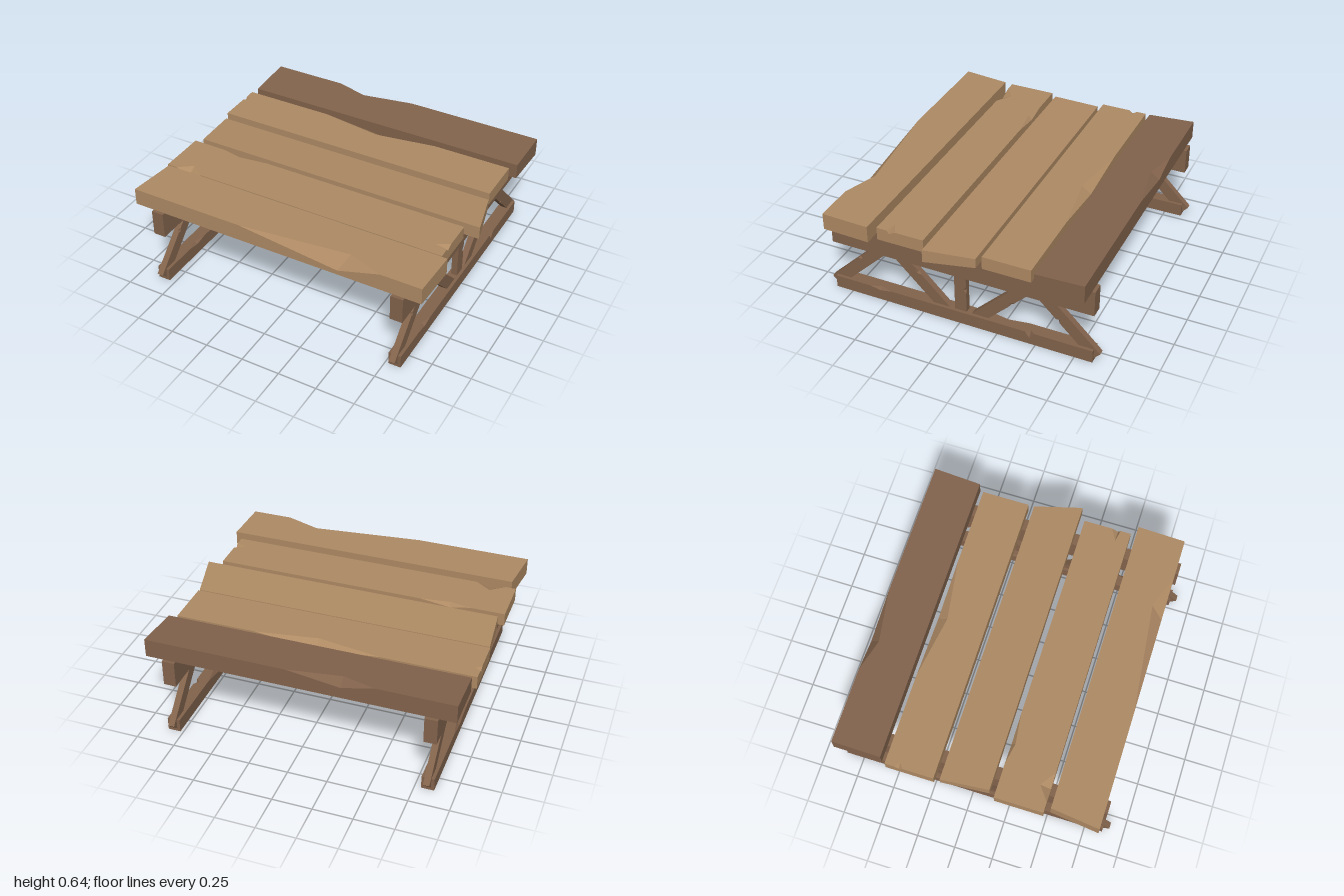
import * as THREE from 'three';

const lightWood = new THREE.MeshStandardMaterial({ color: 0xae8a64 });
lightWood.name = 'lightWood';
const darkWood = new THREE.MeshStandardMaterial({ color: 0x82634c });
darkWood.name = 'darkWood';

const lerp = (a, b, t) => a.clone().lerp(b, t);

// Triangulates a flat polygon given counter-clockwise from outside.
function addPolygon(out, pts) {
  const p0 = pts[0];
  const e1 = pts[1].clone().sub(p0).normalize();
  const e2 = pts[pts.length - 1].clone().sub(p0);
  e2.addScaledVector(e1, -e2.dot(e1)).normalize();
  const flat = pts.map((p) => {
    const d = p.clone().sub(p0);
    return new THREE.Vector2(d.dot(e1), d.dot(e2));
  });
  for (const [a, b, c] of THREE.ShapeUtils.triangulateShape(flat, [])) {
    const ccw = THREE.ShapeUtils.area([flat[a], flat[b], flat[c]]) > 0;
    for (const i of ccw ? [a, b, c] : [a, c, b]) out.push(...pts[i].toArray());
  }
}

// Block with four top corners (front left, front right, back right, back left).
// A chip is cut from top edge 0 front, 1 right, 2 back or 3 left:
// from/to/at/dropAt run along the edge; inset and drop are fractions of the faces.
function block(name, material, corners, bottomY, chips = []) {
  const top = corners.map((c) => new THREE.Vector3(...c));
  const bottom = top.map((c) => new THREE.Vector3(c.x, bottomY, c.z));
  const out = [];
  const topLoop = [];
  for (let i = 0; i < 4; i++) {
    const j = (i + 1) % 4;
    const side = [bottom[i], bottom[j], top[j]];
    const sideCuts = [];
    topLoop.push(top[i]);
    for (const chip of chips.filter((c) => c.edge === i)) {
      const { from, to, inset, drop, at = (from + to) / 2, dropAt = at } = chip;
      const a = lerp(top[i], top[j], from);
      const b = lerp(top[i], top[j], to);
      const opposite = lerp(top[(i + 3) % 4], top[(i + 2) % 4], at);
      const t = lerp(lerp(top[i], top[j], at), opposite, inset);
      const f = lerp(lerp(top[i], top[j], dropAt), lerp(bottom[i], bottom[j], dropAt), drop);
      topLoop.push(a, t, b);
      sideCuts.push(a, f, b);
      for (const p of [a, f, t, b, t, f]) out.push(...p.toArray());
    }
    side.push(...sideCuts.reverse(), top[i]);
    addPolygon(out, side);
  }
  addPolygon(out, topLoop);
  addPolygon(out, [bottom[0], bottom[3], bottom[2], bottom[1]]);
  const geometry = new THREE.BufferGeometry();
  geometry.setAttribute('position', new THREE.Float32BufferAttribute(out, 3));
  geometry.computeVertexNormals();
  const mesh = new THREE.Mesh(geometry, material);
  mesh.name = name;
  return mesh;
}

// Straight beam along z, centred on x and z.
function beam(name, width, y0, y1, length, chips) {
  const w = width / 2, l = length / 2;
  return block(name, darkWood, [[-w, y1, l], [w, y1, l], [w, y1, -l], [-w, y1, -l]], y0, chips);
}

// Bar in the support plane between two (z, y) points.
function strut(name, from, to, chips) {
  const dz = to[0] - from[0], dy = to[1] - from[1];
  const bar = beam(name, 0.04, -0.039, 0.039, Math.hypot(dz, dy), chips);
  bar.position.set(0, (from[1] + to[1]) / 2, (from[0] + to[0]) / 2);
  bar.rotation.x = Math.atan2(-dy, dz);
  return bar;
}

function support(name) {
  const group = new THREE.Group();
  group.name = name;
  group.add(beam('upperBeam', 0.08, 0.35, 0.52, 1.73));
  group.add(beam('footRail', 0.08, 0, 0.085, 1.73, [
    { edge: 1, from: 0.14, to: 0.23, inset: 0.3, drop: 0.17 },
    { edge: 1, from: 0.75, to: 0.785, inset: 0.3, drop: 0.5 },
    { edge: 3, from: 0.25, to: 0.4, inset: 0.25, drop: 0.3 },
  ]));
  group.add(strut('centrePost', [0, 0.04], [0, 0.4], [
    { edge: 1, from: 0.35, to: 0.5, inset: 0.3, drop: 0.2 },
  ]));
  // Diagonal braces on both halves
  for (const s of [1, -1]) {
    group.add(strut('outerBrace', [s * 0.47, 0.435], [s * 0.8775, 0.0325], [
      { edge: 1, from: 0.5, to: 0.56, inset: 0.4, drop: 0.25 },
    ]));
    group.add(strut('innerBrace', [s * 0.085, 0.04], [s * 0.455, 0.41], [
      { edge: 1, from: 0.35, to: 0.45, inset: 0.4, drop: 0.25 },
    ]));
  }
  return group;
}

// Table boards: material, front edge [x0, x1, z, y], back edge [x0, x1, z, y], chips
const boards = [
  [lightWood, [-1, 0.955, 0.845, 0.63], [-0.965, 0.965, 0.535, 0.63], [
    { edge: 0, from: 0.385, to: 0.865, at: 0.747, dropAt: 0.726, inset: 0.255, drop: 0.73 },
  ]],
  [lightWood, [-1, 0.915, 0.5, 0.605], [-1, 0.915, 0.19, 0.605], [
    { edge: 0, from: 0.035, to: 0.135, at: 0.083, inset: 0.22, drop: 0.4 },
    { edge: 1, from: 0.22, to: 0.4, at: 0.27, inset: 0.04, drop: 0.25 },
    { edge: 2, from: 0.713, to: 0.885, at: 0.815, inset: 0.08, drop: 0.3 },
  ]],
  [lightWood, [-0.965, 1, 0.152, 0.605], [-0.99, 0.925, -0.155, 0.585], []],
  [lightWood, [-1, 0.915, -0.19, 0.605], [-1, 0.915, -0.5, 0.605], [
    { edge: 2, from: 0.27, to: 0.69, at: 0.478, inset: 0.2, drop: 0.5 },
    { edge: 3, from: 0.2, to: 0.37, inset: 0.018, drop: 0.3 },
  ]],
  [darkWood, [-0.975, 0.955, -0.535, 0.62], [-0.975, 0.965, -0.845, 0.64], [
    { edge: 2, from: 0.467, to: 0.75, at: 0.642, inset: 0.18, drop: 0.4 },
  ]],
];

export function createModel() {
  const model = new THREE.Group();
  model.name = 'plankTable';
  const top = new THREE.Group();
  top.name = 'tableTop';
  boards.forEach(([material, f, b, chips], i) => {
    const corners = [[f[0], f[3], f[2]], [f[1], f[3], f[2]], [b[1], b[3], b[2]], [b[0], b[3], b[2]]];
    top.add(block(`board${i + 1}`, material, corners, 0.52, chips));
  });
  model.add(top);
  // Trestle supports near each end
  for (const s of [1, -1]) {
    const trestle = support(s > 0 ? 'leftTrestle' : 'rightTrestle');
    trestle.position.x = s > 0 ? 0.81 : -0.83;
    model.add(trestle);
  }
  return model;
}
